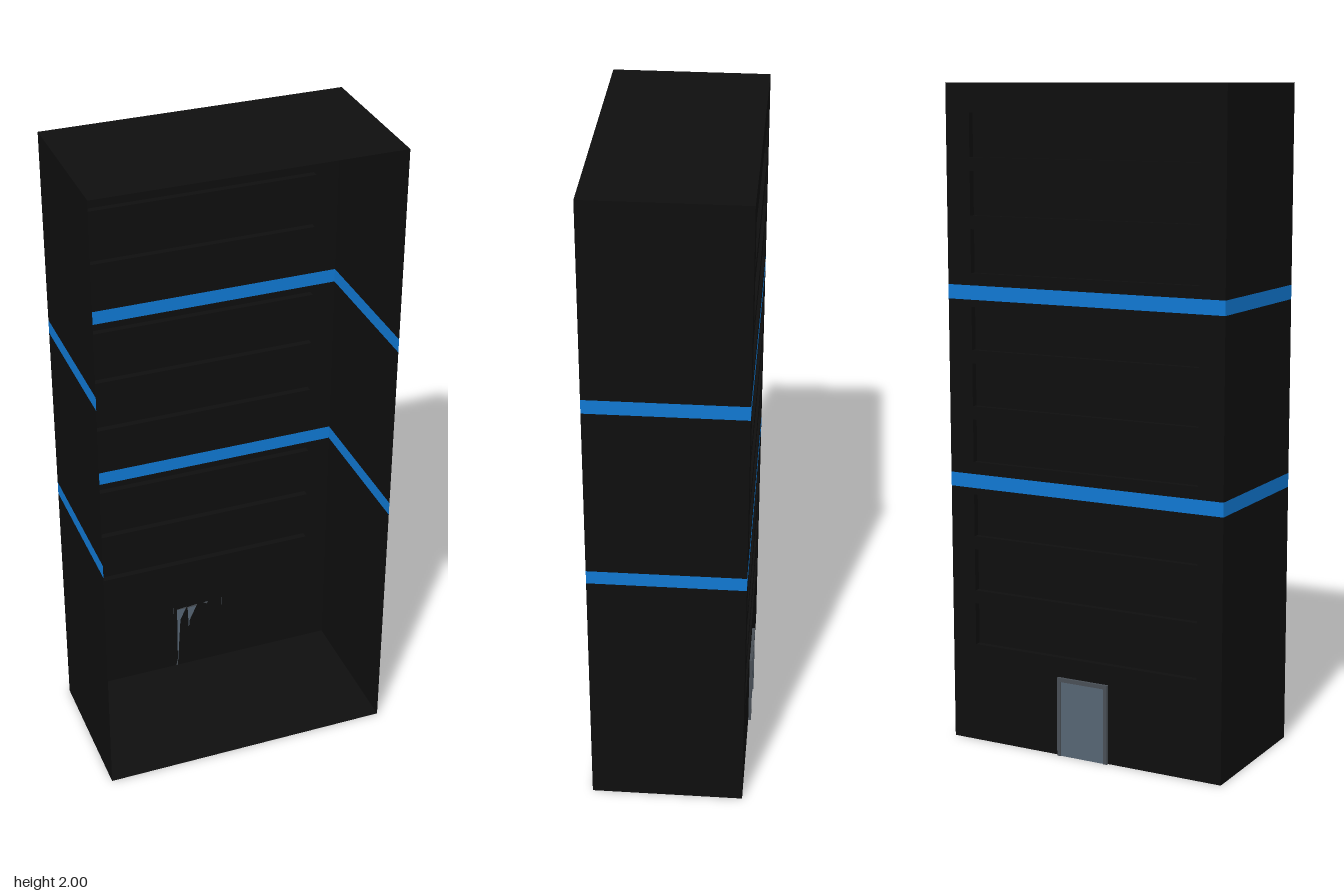
import * as THREE from 'three';

const W = 0.455, FRONT = 0.235, BACK = -0.228, HEIGHT = 2;
const DEPTH = FRONT - BACK, MID_Z = (FRONT + BACK) / 2;
const WIN_W = 0.375, WIN_H = 0.13, RECESS = 0.02;

const material = (name, color) => {
  const m = new THREE.MeshStandardMaterial({ color, side: THREE.DoubleSide });
  m.name = name;
  return m;
};

export function createModel() {
  const black = material('black wall', 0x0e0e0e);
  const blue = material('blue band', 0x1078d2);
  const steel = material('steel door', 0x566573);
  const darkSteel = material('dark steel frame', 0x484e55);

  const model = new THREE.Group();
  model.name = 'openFrontTower';

  const add = (parent, name, geometry, mat, x = 0, y = 0, z = 0) => {
    const mesh = new THREE.Mesh(geometry, mat);
    mesh.name = name;
    mesh.position.set(x, y, z);
    parent.add(mesh);
    return mesh;
  };
  const group = (name) => {
    const g = new THREE.Group();
    g.name = name;
    model.add(g);
    return g;
  };

  // Horizontal plate across the whole plan
  const plate = (name, y, turn) => {
    add(model, name, new THREE.PlaneGeometry(2 * W, DEPTH).rotateX(turn), black, 0, y, MID_Z);
  };
  plate('roof', HEIGHT, -Math.PI / 2);
  plate('floor', 0, Math.PI / 2);

  // Thin recessed window: back pane and four reveals
  const window = (parent, top) => {
    const y = top - WIN_H / 2, z = BACK + RECESS / 2;
    add(parent, 'windowPane', new THREE.PlaneGeometry(2 * WIN_W, WIN_H).rotateY(Math.PI), black, 0, y, BACK + RECESS);
    for (const s of [-1, 1]) {
      add(parent, 'windowSill', new THREE.PlaneGeometry(2 * WIN_W, RECESS).rotateX(s * Math.PI / 2),
        black, 0, y + s * WIN_H / 2, z);
      add(parent, 'windowJamb', new THREE.PlaneGeometry(RECESS, WIN_H).rotateY(-s * Math.PI / 2),
        black, s * WIN_W, y, z);
    }
  };

  // Two sides and a back, open at the front; windows are cut out of the back
  const storey = (name, y0, y1, mat, windowTops = []) => {
    const g = group(name);
    for (const s of [-1, 1]) {
      add(g, 'sideWall', new THREE.PlaneGeometry(DEPTH, y1 - y0).rotateY(s * Math.PI / 2),
        mat, s * W, (y0 + y1) / 2, MID_Z);
    }
    const shape = new THREE.Shape();
    shape.moveTo(-W, y0).lineTo(W, y0).lineTo(W, y1).lineTo(-W, y1).closePath();
    for (const top of windowTops) {
      const hole = new THREE.Path();
      hole.moveTo(-WIN_W, top - WIN_H).lineTo(-WIN_W, top).lineTo(WIN_W, top).lineTo(WIN_W, top - WIN_H).closePath();
      shape.holes.push(hole);
      window(g, top);
    }
    add(g, 'backWall', new THREE.ShapeGeometry(shape).rotateY(Math.PI), mat, 0, 0, BACK);
  };

  storey('lowerStorey', 0, 0.795, black, [0.775, 0.605, 0.435]);
  storey('lowerBand', 0.795, 0.838, blue);
  storey('middleStorey', 0.838, 1.366, black, [1.345, 1.175, 1.005]);
  storey('upperBand', 1.366, 1.409, blue);
  storey('upperStorey', 1.409, HEIGHT, black, [1.915, 1.745, 1.575]);

  // Back door: frame on three sides around a slightly inset leaf
  const door = group('backDoor');
  const t = 0.009, bar = 0.012, z = BACK - t / 2, doorH = 0.245, half = 0.085;
  for (const s of [-1, 1]) {
    add(door, 'doorPost', new THREE.BoxGeometry(bar, doorH, t), darkSteel, s * (half - bar / 2), doorH / 2, z);
  }
  add(door, 'doorLintel', new THREE.BoxGeometry(2 * (half - bar), bar, t), darkSteel, 0, doorH - bar / 2, z);
  add(door, 'doorLeaf', new THREE.BoxGeometry(2 * (half - bar), doorH - bar, 0.006),
    steel, 0, (doorH - bar) / 2, BACK - 0.003);

  return model;
}
